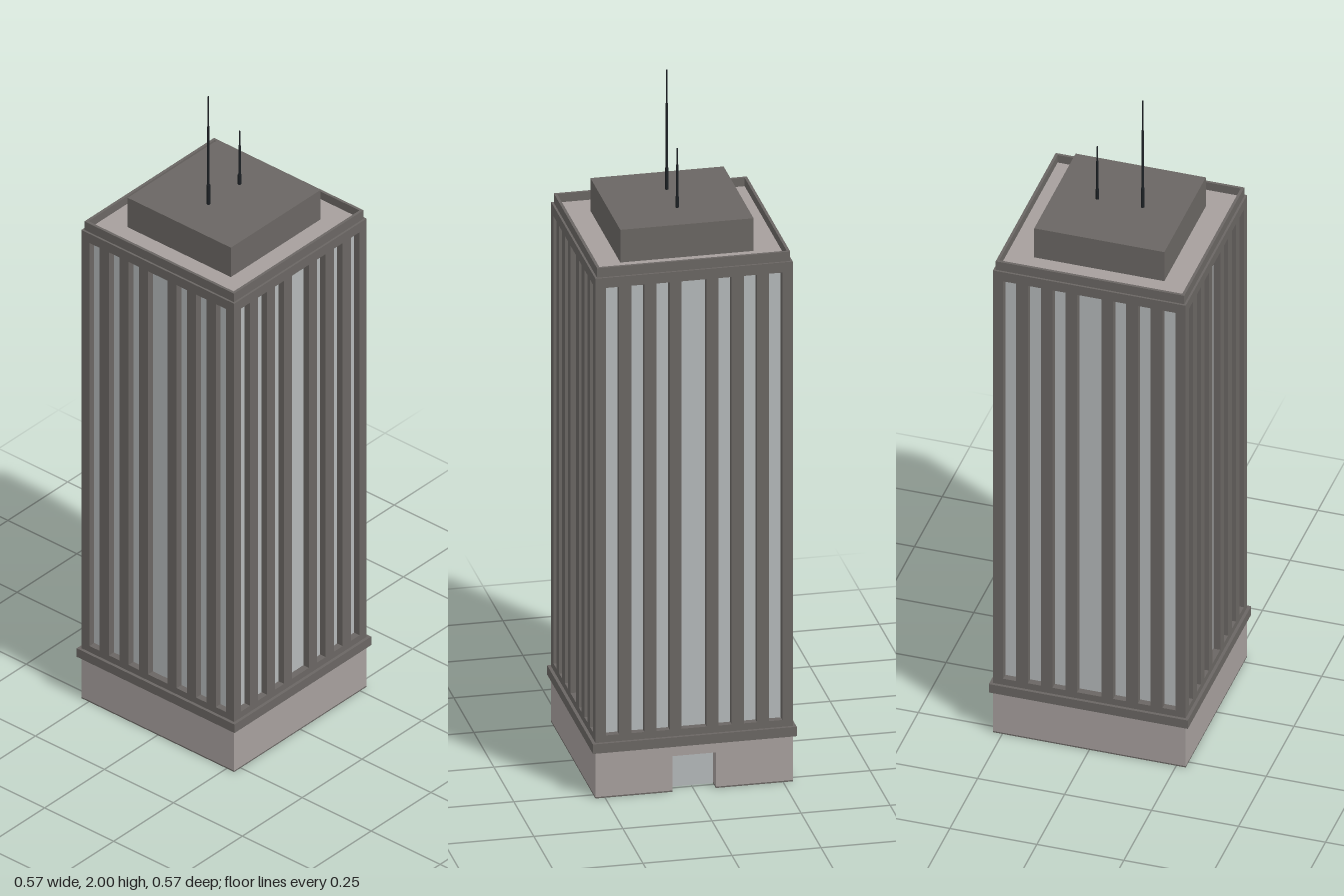
import * as THREE from 'three';

const material = (color) => new THREE.MeshStandardMaterial({ color, flatShading: true });
const dark = material(0x6a6663);
const stone = material(0xa69f9d);
const glass = material(0xb4b8b9);
const black = material(0x1c2024);

const H = 0.277;          // half width of the tower
const D = 0.02;           // depth of the window slots
const BASE_TOP = 0.137, SHAFT_BOTTOM = 0.165, ROOF = 1.545;

export function createModel() {
  const model = new THREE.Group();

  const add = (name, geometry, mat, x = 0, y = 0, z = 0, parent = model) => {
    const mesh = new THREE.Mesh(geometry, mat);
    mesh.name = name;
    mesh.position.set(x, y, z);
    parent.add(mesh);
    return mesh;
  };
  const slab = (name, half, y0, y1, mat) =>
    add(name, new THREE.BoxGeometry(half * 2, y1 - y0, half * 2), mat, 0, (y0 + y1) / 2);
  const rect = (Type, x0, y0, x1, y1) => new Type([
    new THREE.Vector2(x0, y0), new THREE.Vector2(x1, y0),
    new THREE.Vector2(x1, y1), new THREE.Vector2(x0, y1),
  ]);
  const extrude = (shape, depth) =>
    new THREE.ExtrudeGeometry(shape, { depth, bevelEnabled: false });
  // Footprint extruded upwards from y0 to y1
  const upright = (name, shape, y0, y1, mat) => {
    add(name, extrude(shape, y1 - y0).rotateX(-Math.PI / 2), mat, 0, y0);
  };

  // Base with a doorway notched into the +x side
  const doorHalf = 0.061, doorTop = 0.106, doorDepth = 0.04;
  const footprint = new THREE.Shape([
    [-H, -H], [H, -H], [H, -doorHalf], [H - doorDepth, -doorHalf],
    [H - doorDepth, doorHalf], [H, doorHalf], [H, H], [-H, H],
  ].map(([x, y]) => new THREE.Vector2(x, y)));
  upright('foundation', footprint, 0, 0.004, dark);
  upright('baseWalls', footprint, 0.004, doorTop, stone);
  slab('baseUpperWall', H, doorTop, BASE_TOP, stone);
  add('door', new THREE.BoxGeometry(0.004, doorTop, doorHalf * 2), glass,
    H - doorDepth + 0.002, doorTop / 2, 0);

  // Ledge between base and shaft
  slab('ledge', 0.286, BASE_TOP, SHAFT_BOTTOM, dark);

  // Glazed core behind the slotted facades
  slab('windows', H - D, SHAFT_BOTTOM, ROOF - 0.01, glass);

  // Facade frame; four copies interlock at the corners
  const facade = rect(THREE.Shape, -H, SHAFT_BOTTOM, H - D, ROOF);
  const slot = (center, half) => facade.holes.push(
    rect(THREE.Path, center - half, 0.185, center + half, 1.515));
  slot(0, 0.035);
  for (const c of [0.087, 0.158, 0.229]) {
    slot(c, 0.0185);
    slot(-c, 0.0185);
  }
  const facadeGeometry = extrude(facade, D).translate(0, 0, H - D);
  ['front', 'left', 'back', 'right'].forEach((side, i) => {
    add(side + 'Facade', facadeGeometry, dark).rotation.y = i * Math.PI / 2;
  });

  // Roof, parapet and penthouse
  slab('roof', 0.264, ROOF - 0.01, ROOF + 0.003, stone);
  const parapet = rect(THREE.Shape, -0.271, -0.271, 0.271, 0.271);
  parapet.holes.push(rect(THREE.Path, -0.263, -0.263, 0.263, 0.263));
  upright('parapet', parapet, ROOF, 1.573, dark);
  slab('penthouse', 0.187, ROOF, 1.645, dark);

  // Stepped antennas
  const antenna = (name, x, top) => {
    const group = new THREE.Group();
    group.name = name;
    group.position.set(x, 1.645, 0);
    const height = top - 1.645;
    const steps = [[0, 0.18, 0.005], [0.18, 0.72, 0.0035], [0.72, 1, 0.002]];
    for (const [a, b, r] of steps) {
      add('mastSection', new THREE.CylinderGeometry(r, r, (b - a) * height, 8), black,
        0, (a + b) / 2 * height, 0, group);
    }
    model.add(group);
  };
  antenna('tallAntenna', -0.065, 2);
  antenna('shortAntenna', 0.065, 1.82);

  return model;
}
